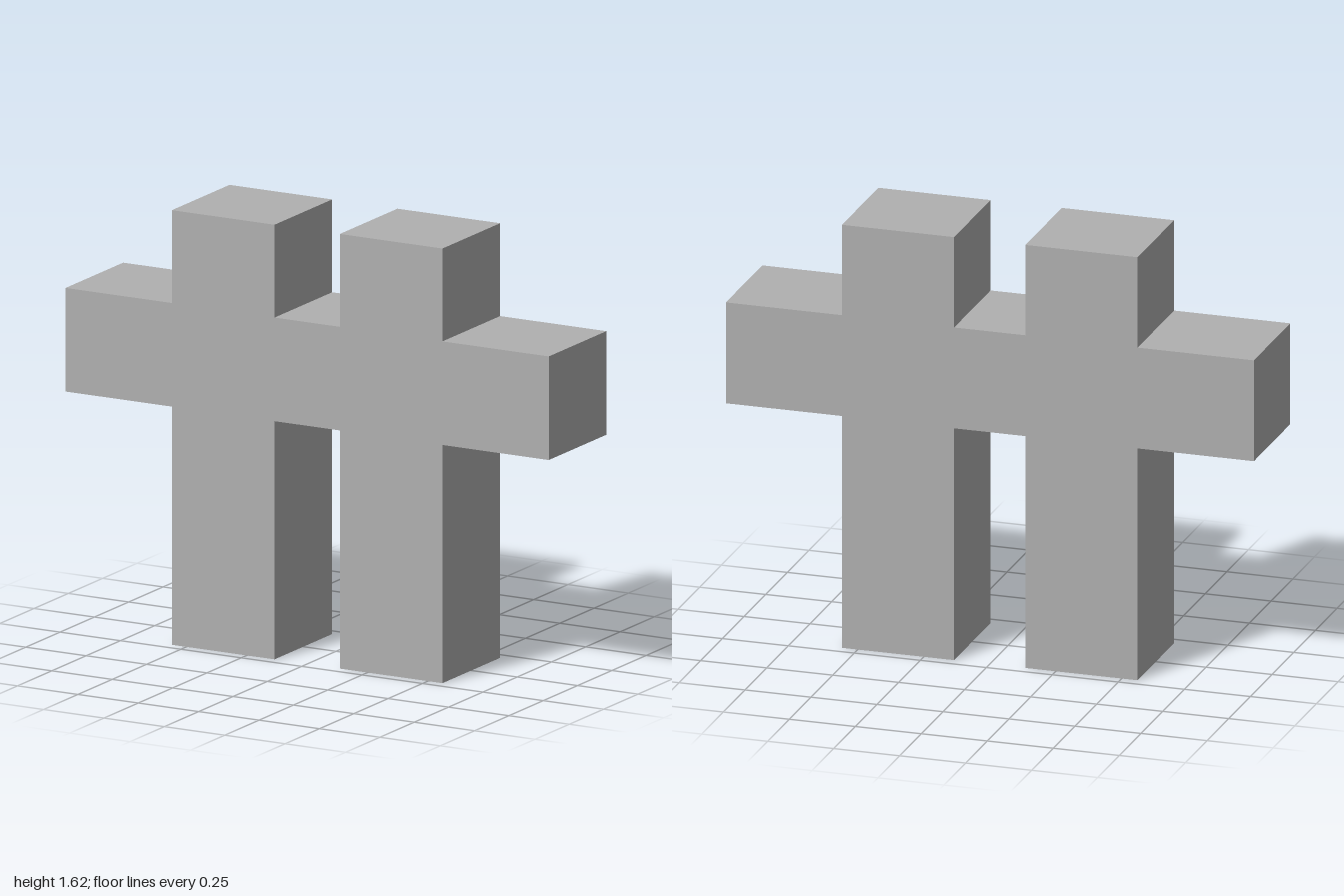
import * as THREE from 'three';

// Main dimensions
const DEPTH = 0.42;
const HEIGHT = 1.615;
const BAR_BOTTOM = 0.885, BAR_TOP = 1.27;
const POST_INNER = 0.135, POST_OUTER = 0.56, BAR_END = 1;

export function createModel() {
  const model = new THREE.Group();
  model.name = 'doubleCross';
  const grey = new THREE.MeshStandardMaterial({ color: 0xb0b0b0 });
  grey.name = 'grey';

  // Right half of the outline, from the middle of the bar's underside round to its top
  const half = [
    [POST_INNER, BAR_BOTTOM], [POST_INNER, 0], [POST_OUTER, 0], [POST_OUTER, BAR_BOTTOM],
    [BAR_END, BAR_BOTTOM], [BAR_END, BAR_TOP],
    [POST_OUTER, BAR_TOP], [POST_OUTER, HEIGHT], [POST_INNER, HEIGHT], [POST_INNER, BAR_TOP],
  ];
  const mirrored = half.map(([x, y]) => [-x, y]).reverse();
  const outline = new THREE.Shape([...half, ...mirrored].map(([x, y]) => new THREE.Vector2(x, y)));

  // Two posts joined by one crossbar, as a single solid
  const geometry = new THREE.ExtrudeGeometry(outline, { depth: DEPTH, bevelEnabled: false });
  geometry.translate(0, 0, -DEPTH / 2);
  const body = new THREE.Mesh(geometry, grey);
  body.name = 'postsAndCrossbar';
  model.add(body);

  return model;
}
